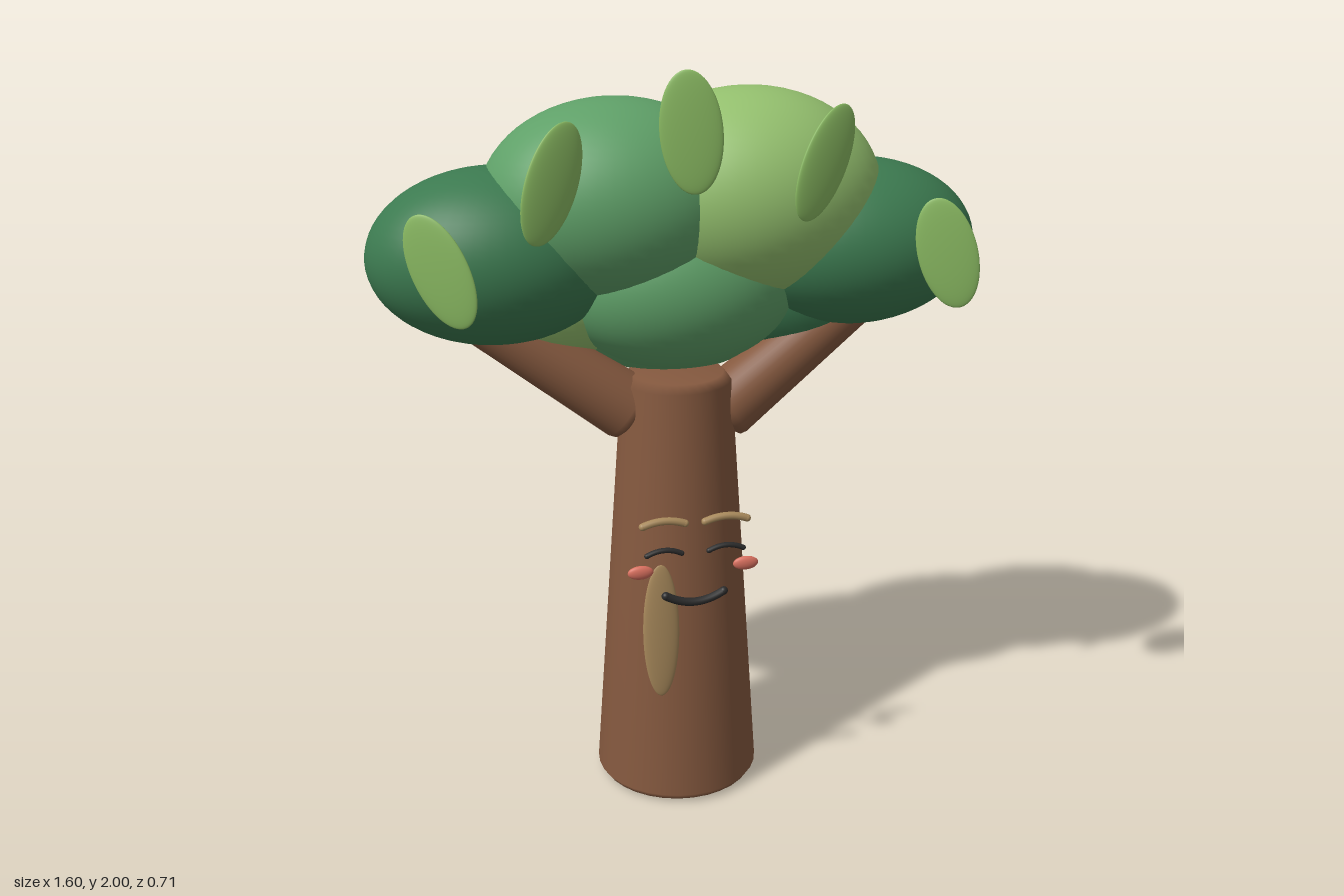
import * as THREE from 'three';

const mat = (color) => new THREE.MeshStandardMaterial({ color });
const bark = mat(0x85593f), tan = mat(0xa98a5c), ink = mat(0x2b2b2b), blush = mat(0xd9705f);
const dark = mat(0x3c7a50), mid = mat(0x5fa068), light = mat(0x94c06e), leafGreen = mat(0x8aba62);

const unitSphere = new THREE.SphereGeometry(1, 48, 32);

function ellipsoid(name, material, pos, size) {
  const m = new THREE.Mesh(unitSphere, material);
  m.name = name;
  m.position.set(...pos);
  m.scale.set(...size);
  return m;
}

// Arched stroke between two x positions, with rounded ends
function stroke(name, material, x0, x1, yEnd, yMid, z, r) {
  const g = new THREE.Group();
  g.name = name;
  const a = new THREE.Vector3(x0, yEnd, z), b = new THREE.Vector3(x1, yEnd, z);
  const control = new THREE.Vector3((x0 + x1) / 2, 2 * yMid - yEnd, z);
  const curve = new THREE.QuadraticBezierCurve3(a, control, b);
  g.add(new THREE.Mesh(new THREE.TubeGeometry(curve, 20, r, 10), material));
  for (const p of [a, b]) g.add(ellipsoid(name + 'End', material, p.toArray(), [r, r, r]));
  return g;
}

// Tapered limb with softened ends
function branch(name, from, to, r0, r1) {
  const a = new THREE.Vector3(...from), d = new THREE.Vector3(...to).sub(a), len = d.length();
  const pts = [[0, 0], [r0 * 0.8, 0], [r0 * 0.95, 0.008], [r0, 0.025],
    [r1, len - 0.02], [r1 * 0.85, len], [0, len]].map((p) => new THREE.Vector2(...p));
  const m = new THREE.Mesh(new THREE.LatheGeometry(pts, 32), bark);
  m.name = name;
  m.position.copy(a);
  m.quaternion.setFromUnitVectors(new THREE.Vector3(0, 1, 0), d.normalize());
  return m;
}

export function createModel() {
  const tree = new THREE.Group();
  tree.name = 'tree';

  // Trunk and two branches
  const trunk = branch('trunk', [-0.015, 0, 0.045], [-0.015, 1.185, 0.045], 0.224, 0.146);
  tree.add(trunk);
  tree.add(branch('leftBranch', [0.1, 1.06, 0.04], [0.5, 1.36, 0.01], 0.09, 0.07));
  tree.add(branch('rightBranch', [-0.13, 1.08, 0.04], [-0.53, 1.36, 0.01], 0.09, 0.07));

  // Crown of overlapping foliage masses
  const crown = new THREE.Group();
  crown.name = 'crown';
  crown.add(
    ellipsoid('rightFoliage', dark, [-0.47, 1.51, 0], [0.33, 0.226, 0.242]),
    ellipsoid('leftFoliage', dark, [0.47, 1.5, 0], [0.33, 0.22, 0.238]),
    ellipsoid('upperRightFoliage', mid, [-0.17, 1.64, 0.008], [0.342, 0.258, 0.262]),
    ellipsoid('upperLeftFoliage', light, [0.18, 1.64, 0], [0.356, 0.273, 0.272]),
    ellipsoid('frontFoliage', mid, [0, 1.42, 0], [0.32, 0.232, 0.232]),
    ellipsoid('backFoliage', mid, [0.005, 1.41, -0.1], [0.35, 0.263, 0.262]),
    ellipsoid('backLeftFoliage', dark, [0.33, 1.38, -0.1], [0.26, 0.21, 0.21]),
    ellipsoid('backRightFoliage', light, [-0.32, 1.4, -0.09], [0.28, 0.195, 0.205]),
  );
  tree.add(crown);

  // Thin leaves hovering before the crown: x, y, z, tilt, yaw, half width, half length
  const leaves = new THREE.Group();
  leaves.name = 'leaves';
  for (const [x, y, z, tilt, yaw, w, h] of [
    [-0.635, 1.553, 0.31, 0.42, -0.48, 0.074, 0.143],
    [-0.37, 1.747, 0.312, -0.35, 0.35, 0.07, 0.148],
    [-0.038, 1.853, 0.31, 0.09, -0.16, 0.075, 0.146],
    [0.29, 1.77, 0.312, -0.44, 0.37, 0.068, 0.147],
    [0.617, 1.53, 0.31, 0.28, -0.33, 0.074, 0.143],
  ]) {
    const leaf = ellipsoid('leaf', leafGreen, [x, y, z], [w, h, 0.012]);
    leaf.rotation.set(0, yaw, tilt, 'YXZ');
    leaves.add(leaf);
  }
  tree.add(leaves);

  // Face
  const face = new THREE.Group();
  face.name = 'face';
  for (const [side, x] of [['right', -0.097], ['left', 0.068]]) {
    face.add(stroke(side + 'Brow', tan, x - 0.056, x + 0.056, 0.842, 0.853, 0.264, 0.01));
    face.add(stroke(side + 'Eye', ink, x - 0.046, x + 0.046, 0.76, 0.772, 0.267, 0.007));
  }
  for (const x of [-0.158, 0.124]) {
    face.add(ellipsoid('cheek', blush, [x, 0.71, 0.257], [0.034, 0.019, 0.011]));
  }
  face.add(stroke('mouth', ink, -0.094, 0.062, 0.642, 0.618, 0.27, 0.011));
  tree.add(face);

  // Pale bark patch
  const patch = ellipsoid('barkPatch', tan, [-0.1, 0.525, 0.24], [0.049, 0.19, 0.012]);
  patch.rotation.x = -0.04;
  tree.add(patch);

  return tree;
}
